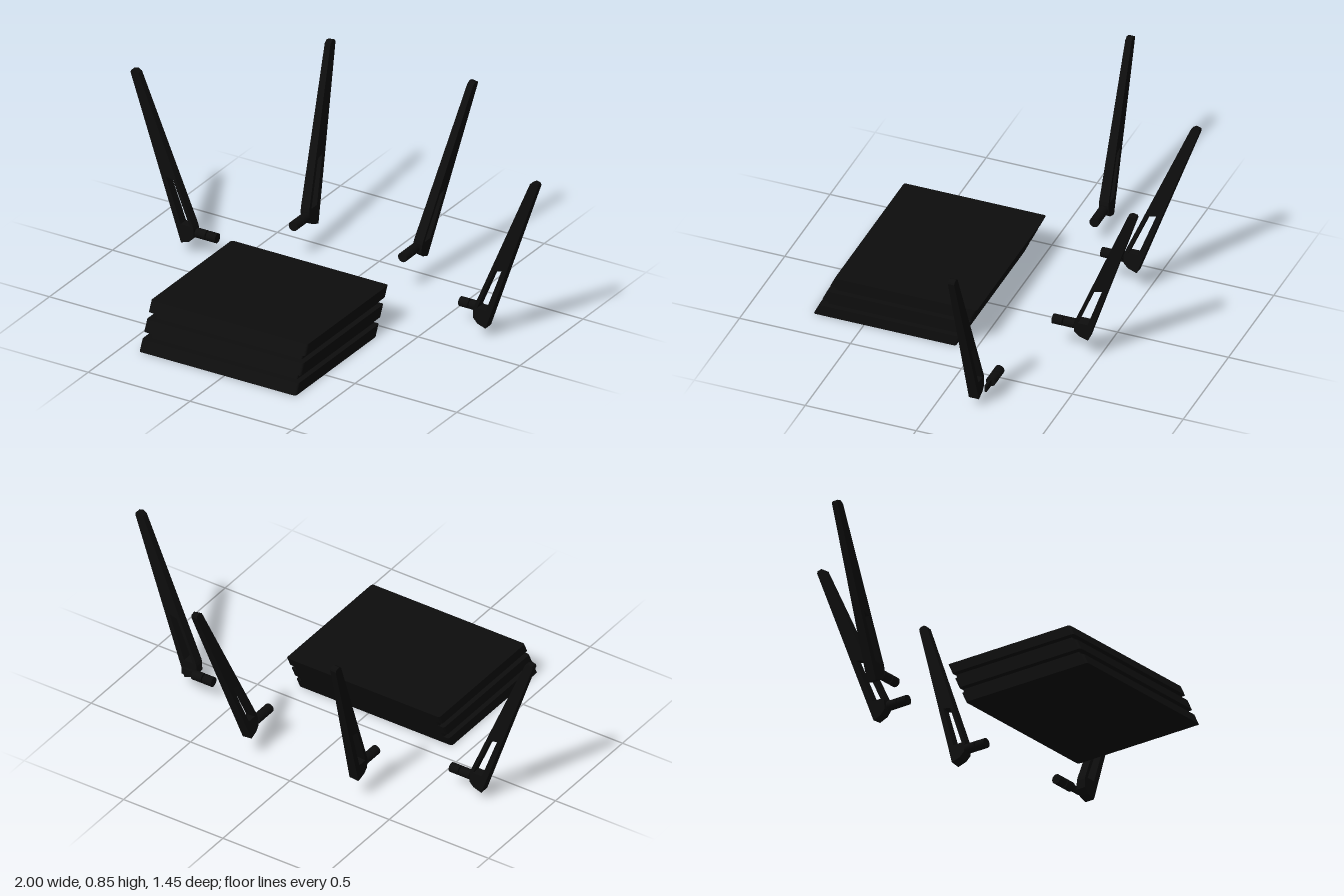
import * as THREE from 'three';

const black = new THREE.MeshStandardMaterial({ color: 0x0d0d0d });
black.name = 'black plastic';

function mesh(geometry, name) {
  const m = new THREE.Mesh(geometry, black);
  m.name = name;
  return m;
}

// Rounded rectangle slab whose front and back lean backwards with height
function leaningSlab(x0, x1, zBack, zFront, y0, y1, r) {
  const s = new THREE.Shape();
  const a = -zFront, b = -zBack;
  s.moveTo(x0 + r, a);
  s.lineTo(x1 - r, a);
  s.quadraticCurveTo(x1, a, x1, a + r);
  s.lineTo(x1, b - r);
  s.quadraticCurveTo(x1, b, x1 - r, b);
  s.lineTo(x0 + r, b);
  s.quadraticCurveTo(x0, b, x0, b - r);
  s.lineTo(x0, a + r);
  s.quadraticCurveTo(x0, a, x0 + r, a);
  const g = new THREE.ExtrudeGeometry(s, { depth: y1 - y0, bevelEnabled: false, curveSegments: 4 });
  g.rotateX(-Math.PI / 2).translate(0, y0, 0);
  const p = g.attributes.position;
  for (let i = 0; i < p.count; i++) p.setZ(i, p.getZ(i) - 0.475 * p.getY(i));
  g.computeVertexNormals();
  return g;
}

// Flat blade with a long slot; x points outwards, thickness tapers to the tip
function bladeGeometry() {
  const pts = (list) => list.map(([x, y]) => new THREE.Vector2(x, y));
  const shape = new THREE.Shape(pts([
    [0, 0], [0.253, 0.728], [0.25, 0.738], [0.23, 0.743], [0.214, 0.733],
    [-0.056, 0.09], [-0.06, 0.075], [-0.06, 0.035], [-0.04, 0.014],
  ]));
  shape.holes.push(new THREE.Path(pts([[-0.042, 0.085], [0.041, 0.28], [0.077, 0.288], [0.002, 0.085]])));
  const g = new THREE.ExtrudeGeometry(shape, { depth: 1, bevelEnabled: false });
  const p = g.attributes.position;
  for (let i = 0; i < p.count; i++) {
    const thickness = 0.045 - 0.017 * p.getY(i) / 0.74;
    p.setZ(i, (p.getZ(i) - 0.5) * thickness);
  }
  g.computeVertexNormals();
  return g;
}

function antenna(name, blade, { position, turn, tilt = 0, offset = 0 }) {
  const group = new THREE.Group();
  group.name = name;
  group.position.set(...position);

  const tilted = new THREE.Group();
  tilted.rotation.z = tilt;
  const bladeMesh = mesh(blade, 'antennaBlade');
  bladeMesh.rotation.y = turn;
  tilted.add(bladeMesh);
  group.add(tilted);

  // Two-piece connector with a flat hinge tab reaching into the blade
  const connector = new THREE.Group();
  connector.name = 'connector';
  connector.rotation.y = turn;
  connector.position.z = offset;
  for (const [from, to] of [[-0.165, -0.12], [-0.114, -0.065]]) {
    const g = new THREE.CylinderGeometry(0.0215, 0.0215, to - from, 24).rotateZ(Math.PI / 2);
    const c = mesh(g, 'connectorBarrel');
    c.position.set((from + to) / 2, 0.054, 0);
    connector.add(c);
  }
  const tab = mesh(new THREE.BoxGeometry(0.06, 0.03, 0.01), 'hingeTab');
  tab.position.set(-0.038, 0.054, 0);
  connector.add(tab);
  group.add(connector);
  return group;
}

export function createModel() {
  const model = new THREE.Group();
  model.name = 'router';

  // Body: three stacked slabs around a core recessed at the front and sides
  const body = new THREE.Group();
  body.name = 'body';
  for (const [y0, y1] of [[0, 0.049], [0.077, 0.126], [0.154, 0.2]]) {
    body.add(mesh(leaningSlab(-0.42, 0.35, 0.087, 0.728, y0, y1, 0.012), 'bodySlab'));
  }
  for (const [y0, y1] of [[0.049, 0.077], [0.126, 0.154]]) {
    body.add(mesh(leaningSlab(-0.395, 0.325, 0.087, 0.7, y0, y1, 0.008), 'recessedCore'));
  }
  model.add(body);

  // Four antennas standing clear of the body
  const blade = bladeGeometry();
  model.add(
    antenna('leftAntenna', blade, { position: [0.747, 0.046, -0.157], turn: 0, offset: -0.049 }),
    antenna('rightAntenna', blade, { position: [-0.747, 0.046, -0.157], turn: Math.PI }),
    antenna('rearLeftAntenna', blade, { position: [0.234, 0.112, -0.471], turn: Math.PI / 2, tilt: -0.134 }),
    antenna('rearRightAntenna', blade, { position: [-0.303, 0.112, -0.471], turn: Math.PI / 2, tilt: 0.089 }),
  );
  return model;
}
